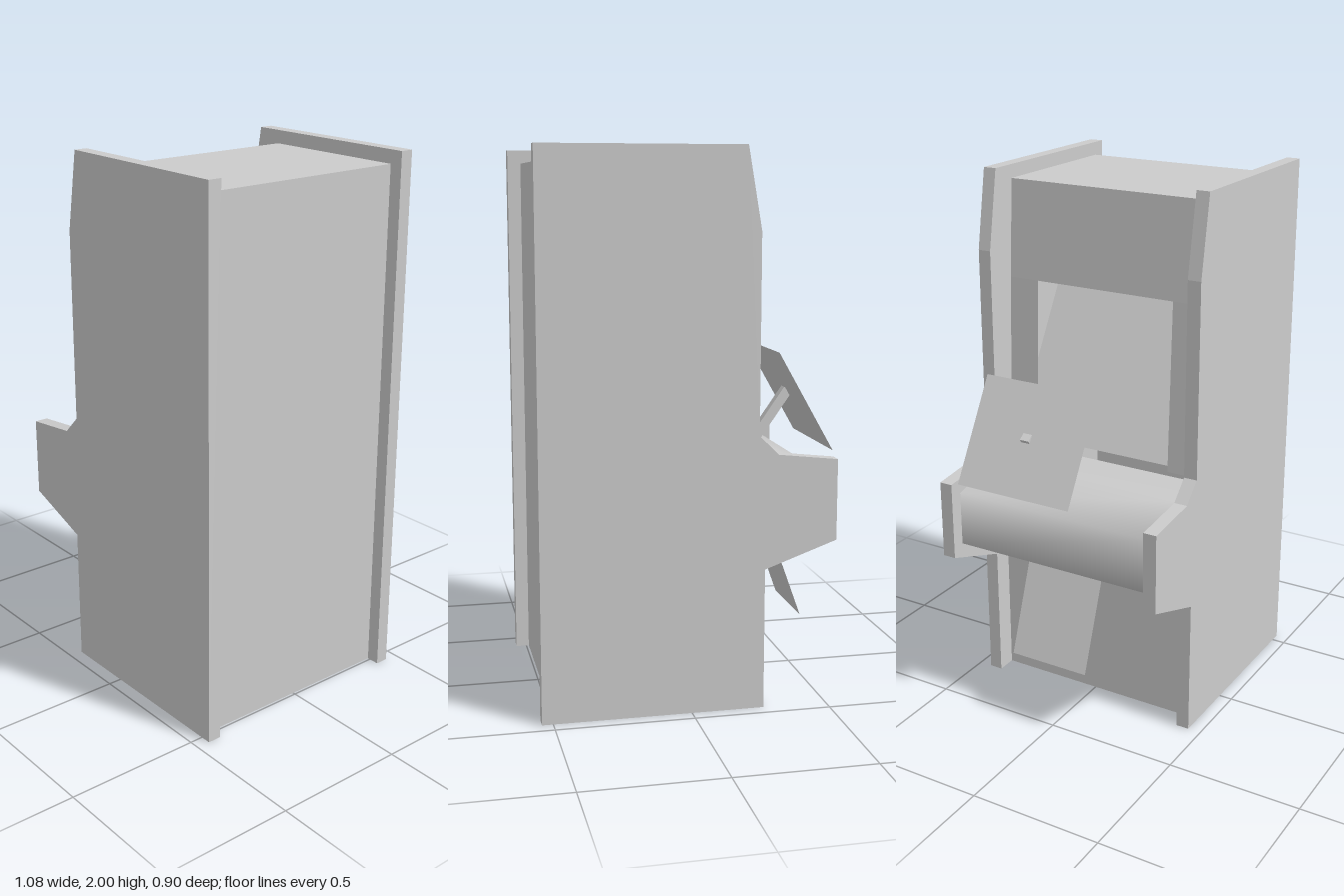
import * as THREE from 'three';

const solid = new THREE.MeshStandardMaterial({ color: 0xcccccc });
const flat = new THREE.MeshStandardMaterial({ color: 0xcccccc, side: THREE.DoubleSide, flatShading: true });
const smooth = new THREE.MeshStandardMaterial({ color: 0xcccccc, side: THREE.DoubleSide });

// Thin sheet: a polyline of [x, y] points swept from z0 to z1
function sheet(name, points, z0, z1, material = flat) {
  const positions = [], index = [];
  points.forEach(([x, y], i) => {
    positions.push(x, y, z0, x, y, z1);
    if (i > 0) {
      const a = 2 * (i - 1);
      index.push(a, a + 1, a + 2, a + 1, a + 3, a + 2);
    }
  });
  const geometry = new THREE.BufferGeometry();
  geometry.setAttribute('position', new THREE.Float32BufferAttribute(positions, 3));
  geometry.setIndex(index);
  geometry.computeVertexNormals();
  const mesh = new THREE.Mesh(geometry, material);
  mesh.name = name;
  return mesh;
}

export function createModel() {
  const cabinet = new THREE.Group();
  cabinet.name = 'arcadeCabinet';
  const inner = 0.4, thickness = 0.05;

  // Side panels, cut from one outline
  const outline = [
    [0.54, 0], [0.54, 2], [-0.19, 2], [-0.24, 1.71], [-0.24, 1], [-0.31, 0.93],
    [-0.53, 0.905], [-0.53, 0.61], [-0.265, 0.515], [-0.265, 0],
  ].map(([x, y]) => new THREE.Vector2(x, y));
  const sideGeometry = new THREE.ExtrudeGeometry(new THREE.Shape(outline), { depth: thickness, bevelEnabled: false });
  for (const [name, z] of [['sidePanelNear', inner], ['sidePanelFar', -inner - thickness]]) {
    const side = new THREE.Mesh(sideGeometry, solid);
    side.name = name;
    side.position.z = z;
    cabinet.add(side);
  }

  // Hollow shell between the sides, open underneath
  cabinet.add(
    sheet('backPanel', [[0.49, 0], [0.49, 1.95]], -inner, inner),
    sheet('topPanel', [[0.49, 1.95], [-0.092, 1.95]], -inner, inner),
    sheet('marquee', [[-0.092, 1.95], [-0.116, 1.59]], -inner, inner),
    sheet('kickPlate', [[-0.19, 0.55], [-0.19, 0]], -inner, inner),
  );

  // Screen surround strips and the reclined screen behind them
  for (const s of [-1, 1]) {
    cabinet.add(sheet('screenSurround', [[-0.116, 1.59], [-0.14, 0.96]],
      Math.min(s * 0.28, s * inner), Math.max(s * 0.28, s * inner)));
  }
  cabinet.add(sheet('screen', [[0.22, 1.52], [-0.1, 0.965]], -inner, inner));

  // Control deck with soft shading over its bends
  cabinet.add(sheet('controlDeck',
    [[-0.14, 0.945], [-0.25, 0.91], [-0.48, 0.855], [-0.48, 0.65], [-0.19, 0.55]], -inner, inner, smooth));

  // Joystick shaft
  const base = new THREE.Vector2(-0.285, 0.9), tip = new THREE.Vector2(-0.435, 1.115);
  const shaft = tip.clone().sub(base);
  const stick = new THREE.Mesh(new THREE.BoxGeometry(0.036, shaft.length(), 0.036), solid);
  stick.name = 'joystick';
  stick.position.set((base.x + tip.x) / 2, (base.y + tip.y) / 2, -0.13);
  stick.rotation.z = shaft.angle() - Math.PI / 2;
  cabinet.add(stick);

  // Thin slanted plates: one at the joystick tip, one below the deck
  cabinet.add(
    sheet('joystickPlate', [[-0.335, 1.28], [-0.54, 0.92]], -0.362, 0.107),
    sheet('lowerPlate', [[-0.355, 0.61], [-0.485, 0.25]], -0.18, 0.135),
  );
  return cabinet;
}
